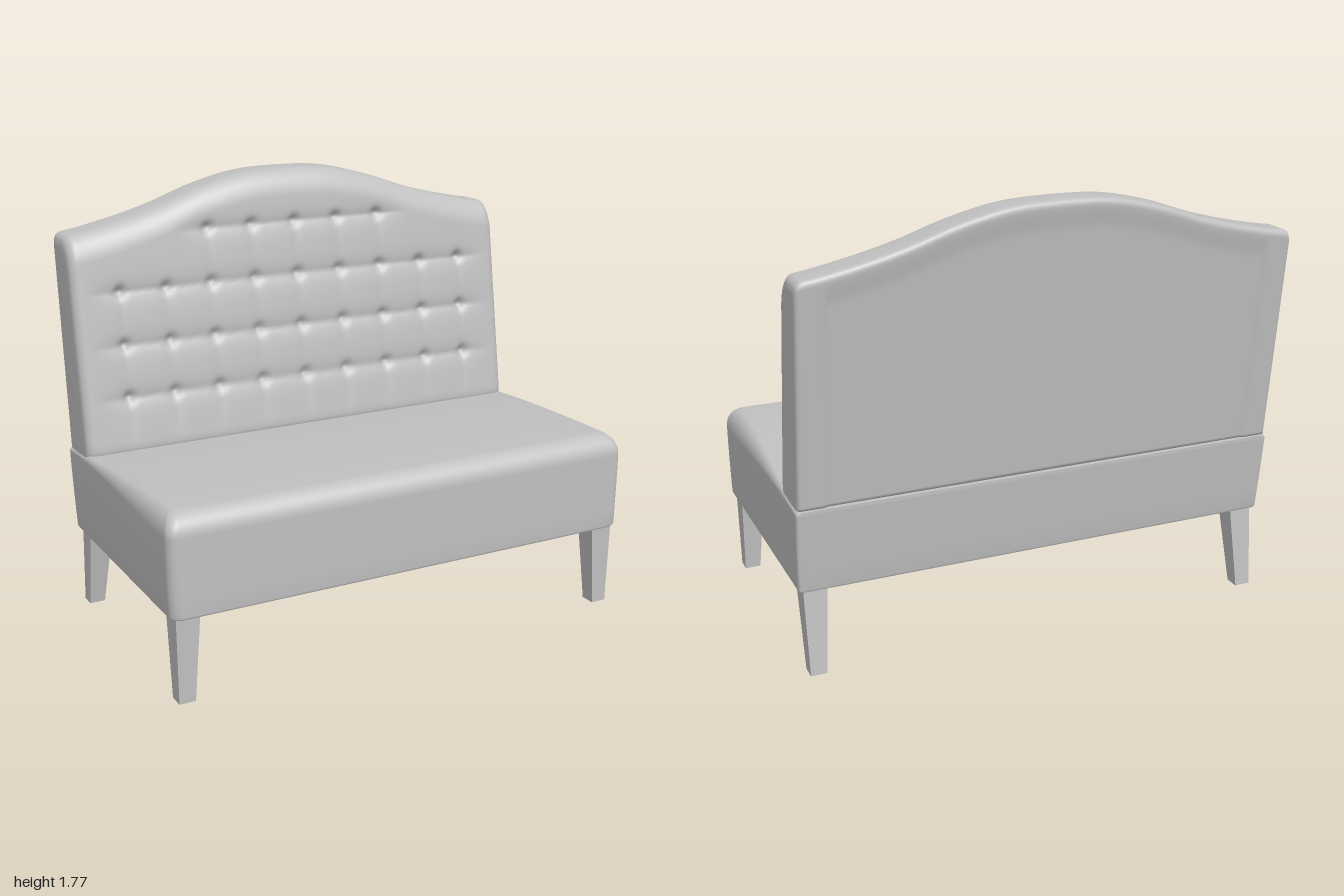
import * as THREE from 'three';

const { sin, cos, abs, sqrt, exp, max, min, sign, PI } = Math;
const lerp = THREE.MathUtils.lerp, smooth = THREE.MathUtils.smoothstep;
const round = (d, r) => { const a = min(1, max(0, 1 - d / r)); return 1 - sqrt(1 - a * a); };

function makeGeometry(positions, index) {
  const g = new THREE.BufferGeometry();
  g.setAttribute('position', new THREE.Float32BufferAttribute(positions, 3));
  g.setIndex(index);
  g.computeVertexNormals();
  return g;
}

// ---- Seat cushion ----
const SEAT_BOTTOM = 0.34;

// Rounded plan of the seat as [x, z] points
function seatPlan() {
  const corners = [[1, 0.605, 0.04, 0], [-1, 0.605, 0.04, 1], [-1, -0.455, 0.012, 2], [1, -0.455, 0.012, 3]];
  const arcs = corners.map(([x, z, r, k]) => Array.from({ length: 9 }, (_, i) => {
    const a = (k + i / 8) * PI / 2;
    return [0.995 * x - sign(x) * r + r * cos(a), z - sign(z) * r + r * sin(a)];
  }));
  const out = [];
  arcs.forEach((arc, k) => {
    out.push(...arc);
    const a = arc[8], b = arcs[(k + 1) % 4][0];
    for (let i = 1; i < 16; i++) out.push([lerp(a[0], b[0], i / 16), lerp(a[1], b[1], i / 16)]);
  });
  return out;
}

const seatTop = z => 0.738 - 0.058 * Math.pow(max(0, (0.42 - z) / 0.91), 1.5);

function seatGeometry(plan) {
  const pos = [], index = [], n = plan.length;
  let rows = 0;
  const addRow = fn => { plan.forEach(p => pos.push(...fn(p))); rows++; };
  const edge = ([x, z], rise, a) => {
    const front = smooth(z, -0.45, 0.5), g = 1 - cos(a);
    const drop = lerp(0.015, 0.085, front);
    const zz = z > 0 ? z * (1 - 0.13 * g) : z * (1 + 0.077 * rise);
    const y = lerp(SEAT_BOTTOM, seatTop(zz) - drop, rise) + drop * sin(a);
    return [x * (1 + 0.006 * sin(rise * PI / 2) - lerp(0.015, 0.06, front) * g), y, zz];
  };
  // Walls, rounded top edge, then the crowned top closing inward
  addRow(p => { const q = edge(p, 0, 0); return [q[0] * 0.995, q[1], q[2] * 0.99]; });
  for (const t of [0.03, 0.25, 0.5, 0.75, 1]) addRow(p => edge(p, t, 0));
  for (let i = 1; i <= 10; i++) addRow(p => edge(p, 1, i / 10 * PI / 2));
  for (let i = 1; i <= 12; i++) addRow(p => {
    const [x, , z] = edge(p, 1, PI / 2), s = 1 - i / 12;
    const zz = lerp(0.05, z, s);
    return [x * s, seatTop(zz), zz];
  });
  for (let r = 0; r < rows - 1; r++) for (let i = 0; i < n; i++) {
    const j = (i + 1) % n, a = r * n + i, b = r * n + j;
    index.push(a, a + n, b, b, a + n, b + n);
  }
  return makeGeometry(pos, index);
}

// ---- Tufted backrest ----
const BACK_BOTTOM = 0.685, NX = 180, NY = 100;
const crest = new THREE.SplineCurve([[0, 1.77], [0.2, 1.76], [0.4, 1.715], [0.6, 1.648], [0.8, 1.597], [1, 1.562]]
  .map(p => new THREE.Vector2(...p)));
const crestY = x => crest.getPoint(min(1, abs(x))).y - 0.035 * round(1 - abs(x), 0.035);

// Button rows: height and half width of the row
const tuftRows = [[0.91, 0.8], [1.12, 0.8], [1.335, 0.8], [1.555, 0.4]];

function tuftDepth(x, y) {
  let depth = 0;
  const dx = abs(x - Math.round(x / 0.2) * 0.2);
  for (const [ry, half] of tuftRows) {
    const inside = 1 - smooth(abs(x), half, half + 0.17);
    const dy = abs(y - ry);
    depth += inside * 0.013 * exp(-dy / 0.035);
    if (abs(x) < half + 0.1) depth += 0.02 * exp(-(dx * dx + dy * dy) / 0.0005);
  }
  // Vertical pleats between the buttons
  const reach = y > 1.335 ? 0.4 : 0.8;
  const span = smooth(y, 0.7, 0.86) * (1 - smooth(y, 1.5, 1.6));
  if (abs(x) < reach + 0.1) depth += 0.007 * span * exp(-dx / 0.025);
  return depth;
}

function backGeometry() {
  const pos = [], index = [], w = NX + 1, layer = w * (NY + 1);
  for (const side of [0, 1]) for (let j = 0; j <= NY; j++) for (let i = 0; i <= NX; i++) {
    const t = 2 * i / NX - 1, v = j / NY;
    const x = lerp(t, sin(t * PI / 2), 0.7);
    const top = crestY(x);
    const y = lerp(BACK_BOTTOM, top, lerp(v, sin(v * PI / 2), 0.5));
    const dx = 1 - abs(x), dy = top - y;
    let z;
    if (side === 0) {
      z = -0.258 - 0.155 * (y - 0.7) - tuftDepth(x, y)
        - 0.04 * round(dx, 0.045) - 0.075 * round(dy, 0.11) - 0.015 * round(y - BACK_BOTTOM, 0.05);
    } else {
      // Rear panel sits slightly inside its side borders
      const panel = smooth(dx, 0.1, 0.125) * smooth(dy, 0.03, 0.12);
      z = -0.488 - 0.112 * (y - 0.68) + 0.02 * round(dx, 0.02) + 0.025 * round(dy, 0.03) + 0.007 * panel;
    }
    pos.push(x * 0.995, y, z);
  }
  const quad = (a, b, c, d) => index.push(a, b, c, a, c, d);
  for (let j = 0; j < NY; j++) for (let i = 0; i < NX; i++) {
    const a = j * w + i, b = a + 1, c = b + w, d = a + w;
    quad(a, b, c, d);
    quad(b + layer, a + layer, d + layer, c + layer);
  }
  for (let j = 0; j < NY; j++) {
    const l = j * w, r = l + NX;
    quad(l + layer, l, l + w, l + w + layer);
    quad(r, r + layer, r + w + layer, r + w);
  }
  for (let i = 0; i < NX; i++) {
    const t = NY * w + i;
    quad(t, t + 1, t + 1 + layer, t + layer);
    quad(i + layer, i + 1 + layer, i + 1, i);
  }
  return makeGeometry(pos, index);
}

// ---- Tapered leg: [inner x, outer x, back z, front z] at top and foot ----
function legGeometry(top, foot, side) {
  const g = new THREE.BoxGeometry(1, 1, 1), p = g.attributes.position;
  for (let i = 0; i < p.count; i++) {
    const s = p.getY(i) > 0 ? top : foot;
    const outer = p.getX(i) * side > 0;
    p.setXYZ(i, side * (outer ? s[1] : s[0]), p.getY(i) > 0 ? 0.345 : 0, p.getZ(i) > 0 ? s[3] : s[2]);
  }
  g.computeVertexNormals();
  return g;
}

export function createModel() {
  const group = new THREE.Group();
  const upholstery = new THREE.MeshStandardMaterial({ color: 0xc0c0c0 });
  upholstery.name = 'light grey';
  const add = (name, geometry) => {
    const mesh = new THREE.Mesh(geometry, upholstery);
    mesh.name = name;
    group.add(mesh);
    return mesh;
  };

  const plan = seatPlan();
  add('seat', seatGeometry(plan));
  const base = new THREE.ShapeGeometry(new THREE.Shape(plan.map(([x, z]) => new THREE.Vector2(x * 0.995, z * 0.99))));
  base.rotateX(PI / 2);
  add('seatUnderside', base).position.y = SEAT_BOTTOM;
  add('backrest', backGeometry());

  for (const [side, label] of [[1, 'Left'], [-1, 'Right']]) {
    add('front' + label + 'Leg', legGeometry([0.88, 0.975, 0.49, 0.585], [0.905, 0.97, 0.517, 0.58], side));
    add('rear' + label + 'Leg', legGeometry([0.88, 0.975, -0.44, -0.345], [0.905, 0.97, -0.477, -0.415], side));
  }
  return group;
}
